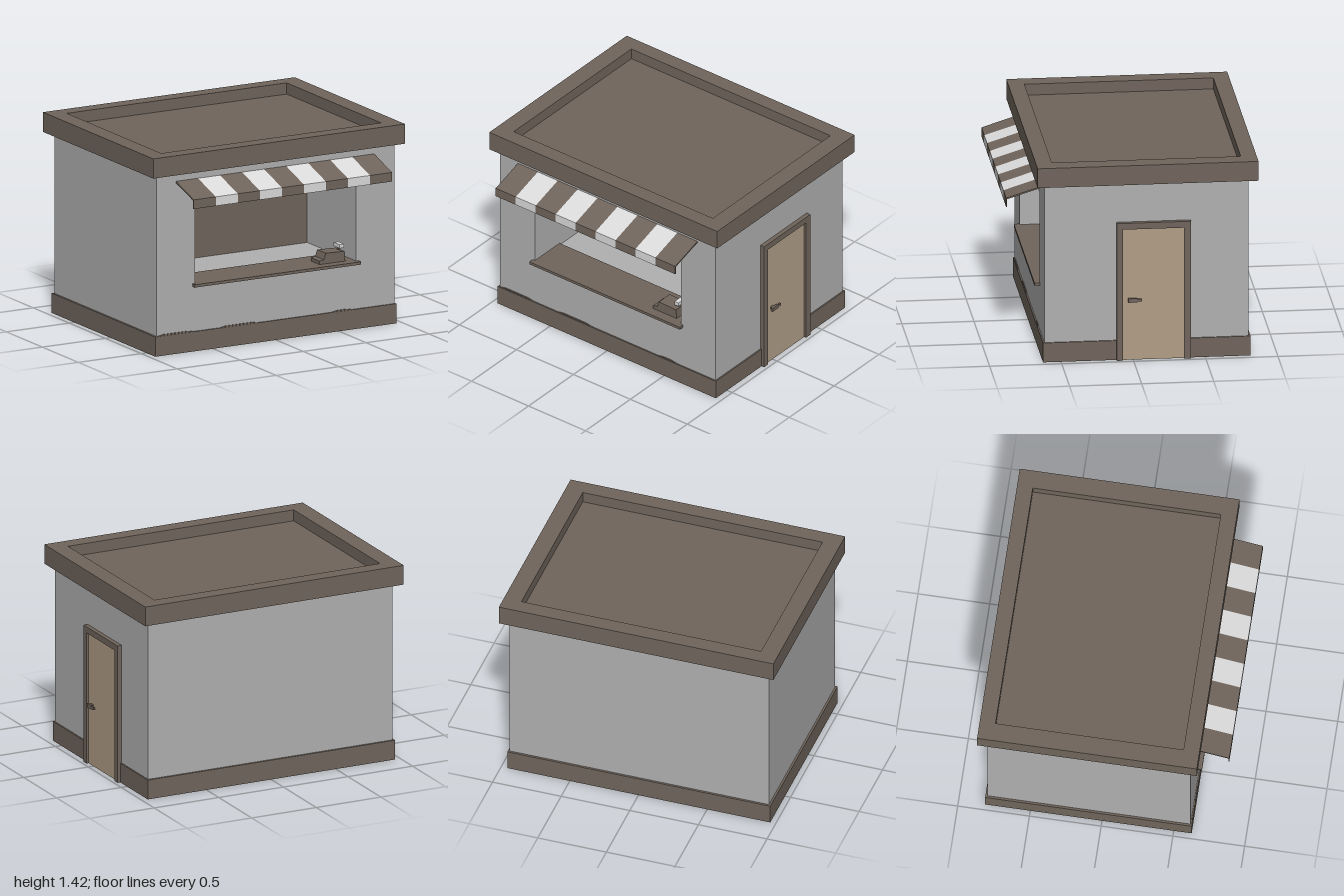
import * as THREE from 'three';

export function createModel() {
  const model = new THREE.Group();
  model.name = 'kiosk';

  const mat = (name, color) => {
    const m = new THREE.MeshStandardMaterial({ color });
    m.name = name;
    return m;
  };
  const brown = mat('brown trim', 0x70655c);
  const grey = mat('grey wall', 0xb0b0b0);
  const tan = mat('tan door', 0xb09e86);
  const white = mat('white stripe', 0xdcdcdc);

  const add = (name, geometry, material, parent = model) => {
    const mesh = new THREE.Mesh(geometry, material);
    mesh.name = name;
    parent.add(mesh);
    return mesh;
  };
  // Box given by its minimum and maximum on each axis
  const box = (name, material, x0, x1, y0, y1, z0, z1, parent) => {
    const g = new THREE.BoxGeometry(x1 - x0, y1 - y0, z1 - z0);
    g.translate((x0 + x1) / 2, (y0 + y1) / 2, (z0 + z1) / 2);
    return add(name, g, material, parent);
  };
  const polygon = (points) => new THREE.Shape(points.map(([x, y]) => new THREE.Vector2(x, y)));
  const rect = (x0, x1, y0, y1) => polygon([[x0, y0], [x1, y0], [x1, y1], [x0, y1]]);
  const extrude = (shape, depth) => new THREE.ExtrudeGeometry(shape, { depth, bevelEnabled: false });
  // Horizontal rectangular frame; outer and inner are [x0, x1, z0, z1]
  const ring = (name, material, outer, inner, y0, y1) => {
    const flip = ([x0, x1, z0, z1]) => rect(x0, x1, -z1, -z0);
    const shape = flip(outer);
    shape.holes.push(flip(inner));
    const g = extrude(shape, y1 - y0);
    g.rotateX(-Math.PI / 2);
    g.translate(0, y0, 0);
    return add(name, g, material);
  };

  // Walls: solid rear part and a front part pierced by the serving hatch
  const hatchBack = -0.07;
  box('rearWalls', grey, -0.945, 0.945, 0, 1.29, -0.8, hatchBack);
  const front = rect(-0.945, 0.945, 0, 1.29);
  front.holes.push(rect(-0.64, 0.64, 0.465, 1.13));
  const frontWalls = add('frontWalls', extrude(front, 0.615 - hatchBack), grey);
  frontWalls.position.z = hatchBack;
  box('hatchBackPanel', brown, -0.64, 0.64, 0.465, 1.13, hatchBack, hatchBack + 0.008);

  // Plinth around the foot of the walls
  ring('plinth', brown, [-0.96, 0.955, -0.815, 0.625], [-0.945, 0.945, -0.8, 0.615], 0, 0.14);
  for (const [x0, x1] of [[-0.94, -0.65], [-0.44, -0.14], [0.44, 0.61]]) {
    const ridge = polygon([[x0, 0.14], [x1, 0.14], [x1 - 0.05, 0.149], [x0 + 0.05, 0.149]]);
    add('plinthRidge', extrude(ridge, 0.006), brown).position.z = 0.615;
  }

  // Roof slab with raised rim
  const rimInner = [-0.873, 0.873, -0.755, 0.555];
  ring('roofRim', brown, [-1, 1, -0.865, 0.667], rimInner, 1.28, 1.42);
  box('roofDeck', brown, -0.873, 0.873, 1.28, 1.34, -0.755, 0.555);

  // Striped awning: bent sheet cut into nine strips
  const awning = new THREE.Group();
  awning.name = 'awning';
  model.add(awning);
  const stripe = 1.575 / 9;
  const profile = polygon([
    [0.61, 1.213], [0.855, 1.137], [0.855, 1.08], [0.862, 1.08], [0.862, 1.145], [0.61, 1.225],
  ]);
  for (let i = 0; i < 9; i++) {
    const g = extrude(profile, stripe);
    g.rotateY(-Math.PI / 2); // profile x becomes z
    g.translate(-0.79 + stripe * (i + 1), 0, 0);
    add('awningStripe', g, i % 2 ? white : brown, awning);
  }

  // Serving counter
  box('counter', brown, -0.66, 0.66, 0.46, 0.48, 0.34, 0.652);

  // Cash register
  const register = new THREE.Group();
  register.name = 'cashRegister';
  model.add(register);
  const body = polygon([
    [0.37, 0.48], [0.575, 0.48], [0.57, 0.55], [0.42, 0.555], [0.405, 0.51], [0.37, 0.505],
  ]);
  add('registerBody', extrude(body, 0.12), brown, register).position.z = 0.46;
  box('displayPost', brown, 0.55, 0.565, 0.55, 0.575, 0.51, 0.53, register);
  box('display', white, 0.54, 0.575, 0.57, 0.597, 0.48, 0.56, register);

  // Side door with frame and lever handle
  const door = new THREE.Group();
  door.name = 'door';
  model.add(door);
  box('doorPanel', tan, 0.94, 0.96, 0, 0.95, -0.352, 0.073, door);
  box('frontJamb', brown, 0.94, 0.977, 0, 0.995, 0.073, 0.115, door);
  box('rearJamb', brown, 0.94, 0.977, 0, 0.995, -0.4, -0.352, door);
  box('doorLintel', brown, 0.94, 0.977, 0.95, 0.995, -0.352, 0.073, door);
  box('handleStem', brown, 0.955, 0.98, 0.43, 0.447, 0.0, 0.025, door);
  box('handleGrip', brown, 0.976, 0.992, 0.423, 0.452, -0.025, 0.037, door);
  box('handleTip', brown, 0.978, 0.99, 0.428, 0.446, -0.057, -0.025, door);

  return model;
}
